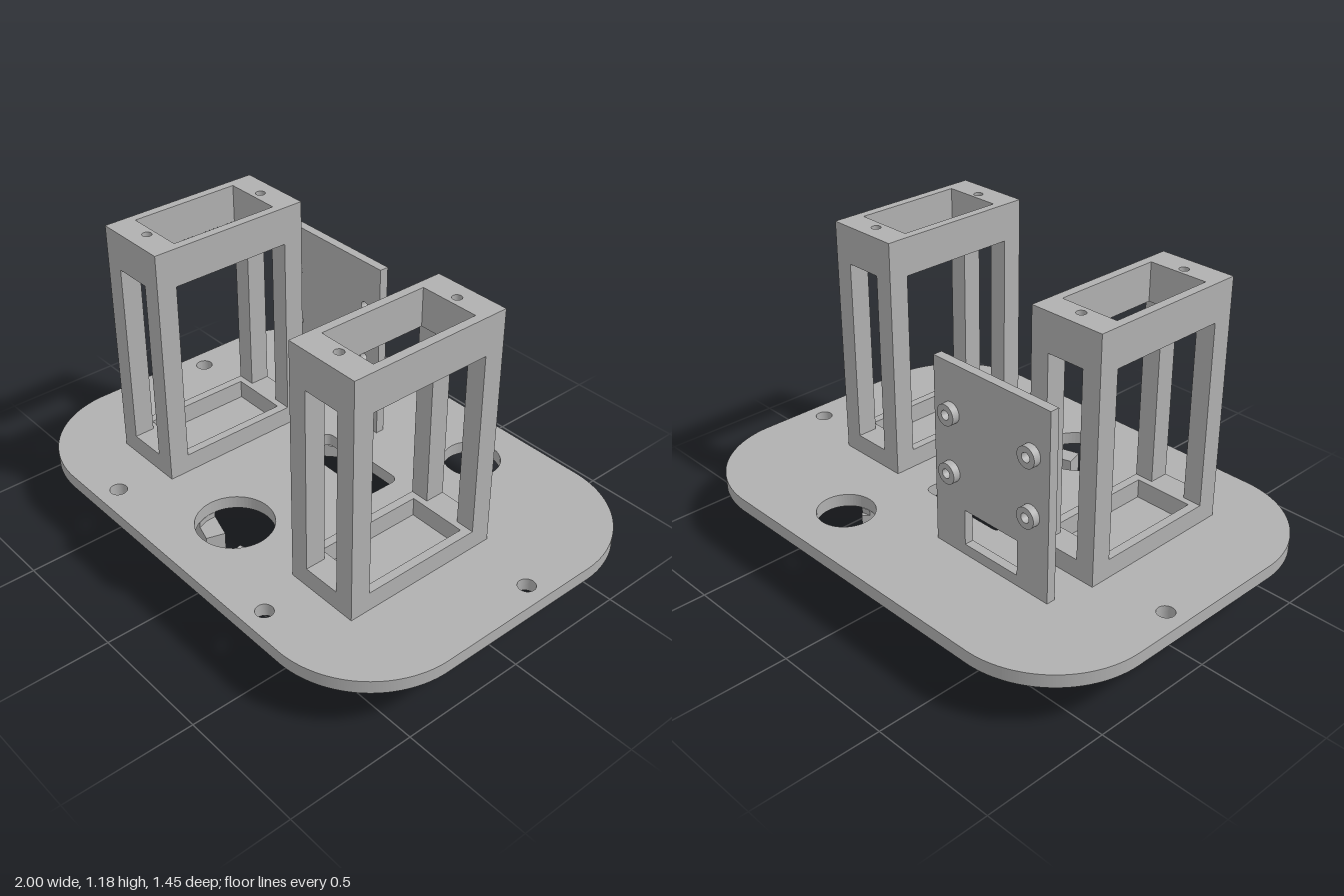
import * as THREE from 'three';

const PLATE_BOTTOM = 0.187, PLATE_TOP = 0.238;

function circle(x, y, r) {
  return new THREE.Path().absarc(x, y, r, 0, Math.PI * 2, true);
}

function roundedRect(target, x0, y0, x1, y1, r) {
  const q = Math.PI / 2;
  target.moveTo(x0 + r, y0);
  target.absarc(x1 - r, y0 + r, r, -q, 0, false);
  target.absarc(x1 - r, y1 - r, r, 0, q, false);
  target.absarc(x0 + r, y1 - r, r, q, 2 * q, false);
  target.absarc(x0 + r, y0 + r, r, 2 * q, 3 * q, false);
  target.closePath();
  return target;
}

function polygon(points) {
  return new THREE.Shape(points.map(([x, y]) => new THREE.Vector2(x, y)));
}

function rect(x0, y0, x1, y1) {
  return polygon([[x0, y0], [x1, y0], [x1, y1], [x0, y1]]);
}

function extrude(shape, depth) {
  return new THREE.ExtrudeGeometry(shape, { depth, bevelEnabled: false, curveSegments: 32 });
}

// Horizontal slab: the shape lies in x and z, between heights y0 and y1
function slab(shape, y0, y1) {
  return extrude(shape, y1 - y0).rotateX(Math.PI / 2).translate(0, y1, 0);
}

export function createModel() {
  const model = new THREE.Group();
  model.name = 'sensorMountPlate';
  const grey = new THREE.MeshStandardMaterial({ color: 0xb0b0b0 });
  grey.name = 'grey';

  const add = (parent, geometry, name) => {
    const mesh = new THREE.Mesh(geometry, grey);
    mesh.name = name;
    parent.add(mesh);
    return mesh;
  };
  const addGroup = (parent, name) => {
    const group = new THREE.Group();
    group.name = name;
    parent.add(group);
    return group;
  };

  // Base plate with its openings and screw holes
  const base = roundedRect(new THREE.Shape(), -1, -0.727, 1, 0.727, 0.39);
  base.holes.push(
    circle(0.29, -0.495, 0.11),
    circle(0, 0.43, 0.147),
    roundedRect(new THREE.Path(), -0.2, -0.19, 0.2, -0.04, 0.03)
  );
  for (const side of [-1, 1]) {
    base.holes.push(circle(side * 0.92, -0.115, 0.033), circle(side * 0.435, 0.642, 0.033));
  }
  add(model, slab(base, PLATE_BOTTOM, PLATE_TOP), 'basePlate');

  // Two open box frames: bottom ring, four posts and a drilled top ring
  const frameRing = () => {
    const ring = rect(-0.152, -0.323, 0.152, 0.323);
    ring.holes.push(rect(-0.118, -0.218, 0.118, 0.218));
    return ring;
  };
  for (const side of [-1, 1]) {
    const frame = addGroup(model, side > 0 ? 'leftFrame' : 'rightFrame');
    frame.position.set(side * 0.508, 0, 0.132);
    add(frame, slab(frameRing(), PLATE_TOP, 0.313), 'bottomRing');
    const top = frameRing();
    top.holes.push(circle(0, -0.255, 0.018), circle(0, 0.25, 0.018));
    add(frame, slab(top, 1.038, 1.185), 'topRing');
    for (const x of [-1, 1]) {
      for (const z of [-1, 1]) {
        const post = add(frame, new THREE.BoxGeometry(0.076, 0.725, 0.08), 'post');
        post.position.set(x * 0.114, 0.6755, z * 0.283);
      }
    }
  }

  // Upright mounting panel with a cable window and four hollow bosses behind it
  const panelGroup = addGroup(model, 'mountingPanel');
  const panel = rect(-0.62, PLATE_TOP, -0.075, 0.967);
  panel.holes.push(rect(-0.476, 0.28, -0.22, 0.42));
  for (const x of [-0.539, -0.158]) {
    for (const y of [0.552, 0.78]) {
      panel.holes.push(circle(x, y, 0.018));
      const boss = new THREE.Shape().absarc(x, y, 0.04, 0, Math.PI * 2, false);
      boss.holes.push(circle(x, y, 0.018));
      add(panelGroup, extrude(boss, 0.028).translate(0, 0, -0.396), 'boss');
    }
  }
  add(panelGroup, extrude(panel, 0.036).translate(0, 0, -0.368), 'panel');

  // Three pairs of drilled, toed-in lugs under the plate, 120 degrees apart
  const L = 0.0685, T = 0.0365, STEP = 0.165;
  const fullTop = [[-L, -T], [L, -T], [L, T], [-L, T]];
  // Lug tops cut back where the round plate openings pass through them
  const frontTop = [[0.0385, -T], [L, -T], [L, T], [0, T], [0.026, 0]];
  const notchedTop = [[-L, -T], [L, -T], [L, 0.0065], [0.0475, T], [-L, T]];
  for (let i = 0; i < 3; i++) {
    const pair = addGroup(model, 'lugPair');
    pair.rotation.y = (i * Math.PI * 2) / 3;
    for (const side of [-1, 1]) {
      const lug = addGroup(pair, 'lug');
      lug.position.set(side * 0.12, 0, 0.46);
      lug.rotation.y = side * THREE.MathUtils.degToRad(17);
      const body = rect(-L, 0, L, STEP);
      body.holes.push(circle(0, 0.075, 0.023));
      add(lug, extrude(body, 2 * T).translate(0, 0, -T), 'lugBody');
      const top = i === 0 ? frontTop : i === 1 && side > 0 ? notchedTop : fullTop;
      const outline = polygon(top.map(([x, z]) => [side * x, z]));
      add(lug, slab(outline, STEP, PLATE_BOTTOM), 'lugTop');
    }
  }
  return model;
}
